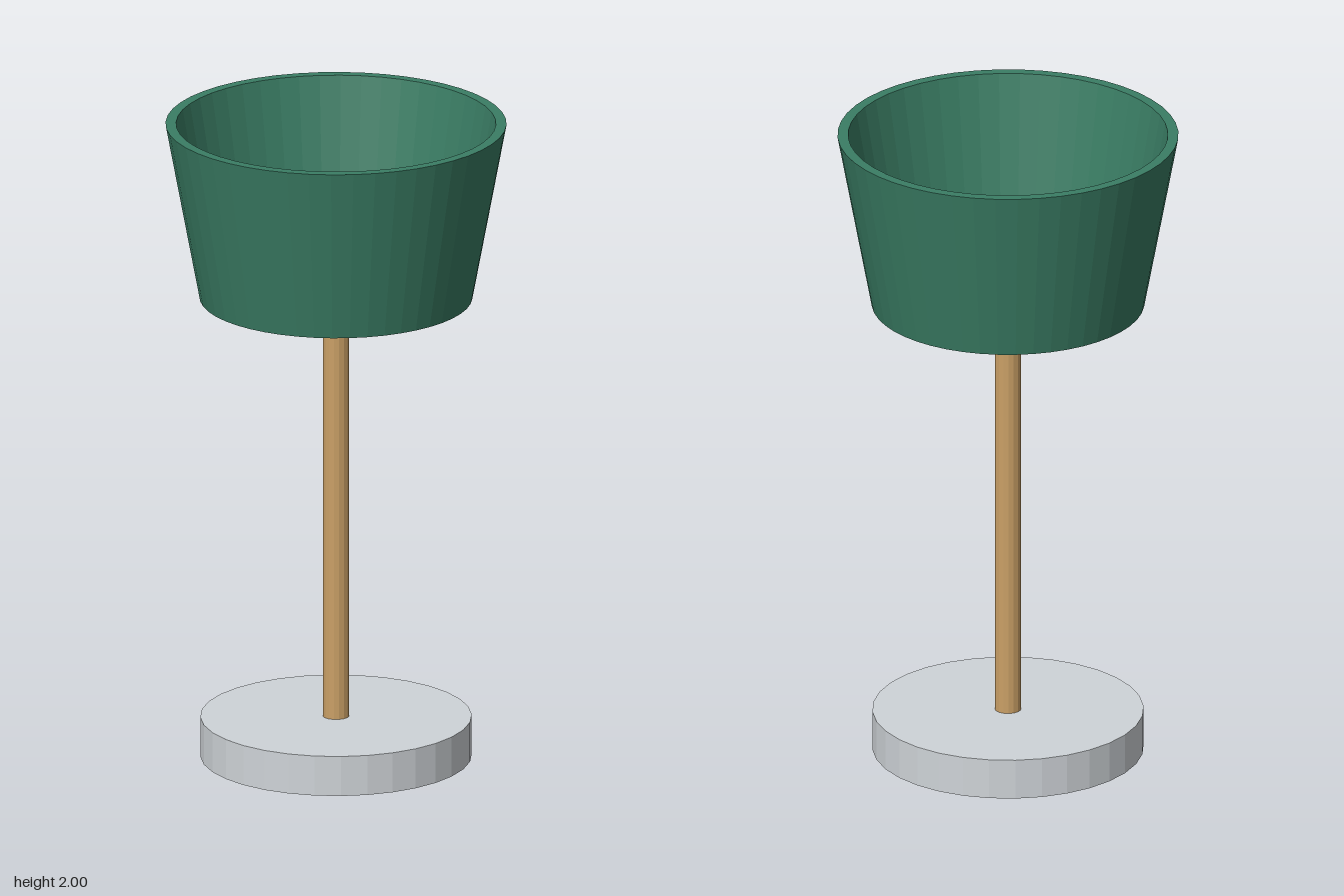
import * as THREE from 'three';

const material = (name, color) => {
  const m = new THREE.MeshStandardMaterial({ color, flatShading: true });
  m.name = name;
  return m;
};

export function createModel() {
  const lamp = new THREE.Group();
  lamp.name = 'tableLamp';
  const green = material('green shade', 0x3a7d64);
  const wood = material('warm wood', 0xcaa066);
  const grey = material('light grey', 0xcfd4d8);

  const add = (name, geometry, mat, y) => {
    const mesh = new THREE.Mesh(geometry, mat);
    mesh.name = name;
    mesh.position.y = y;
    lamp.add(mesh);
  };

  // Round foot
  add('base', new THREE.CylinderGeometry(0.41, 0.41, 0.125, 32), grey, 0.0625);

  // Slim pole, ending level with the lower rim of the shade
  add('pole', new THREE.CylinderGeometry(0.04, 0.04, 1.325, 16), wood, 0.125 + 1.325 / 2);

  // Bulb hanging inside the shade
  add('bulb', new THREE.SphereGeometry(0.082, 20, 14), wood, 1.62);

  // Open flared shade with wall thickness: up the outside, down the inside
  const profile = [[0.385, 0], [0.412, 0], [0.515, 0.55], [0.483, 0.55], [0.385, 0]]
    .map(([r, y]) => new THREE.Vector2(r, y));
  add('shade', new THREE.LatheGeometry(profile, 48), green, 1.45);

  return lamp;
}
